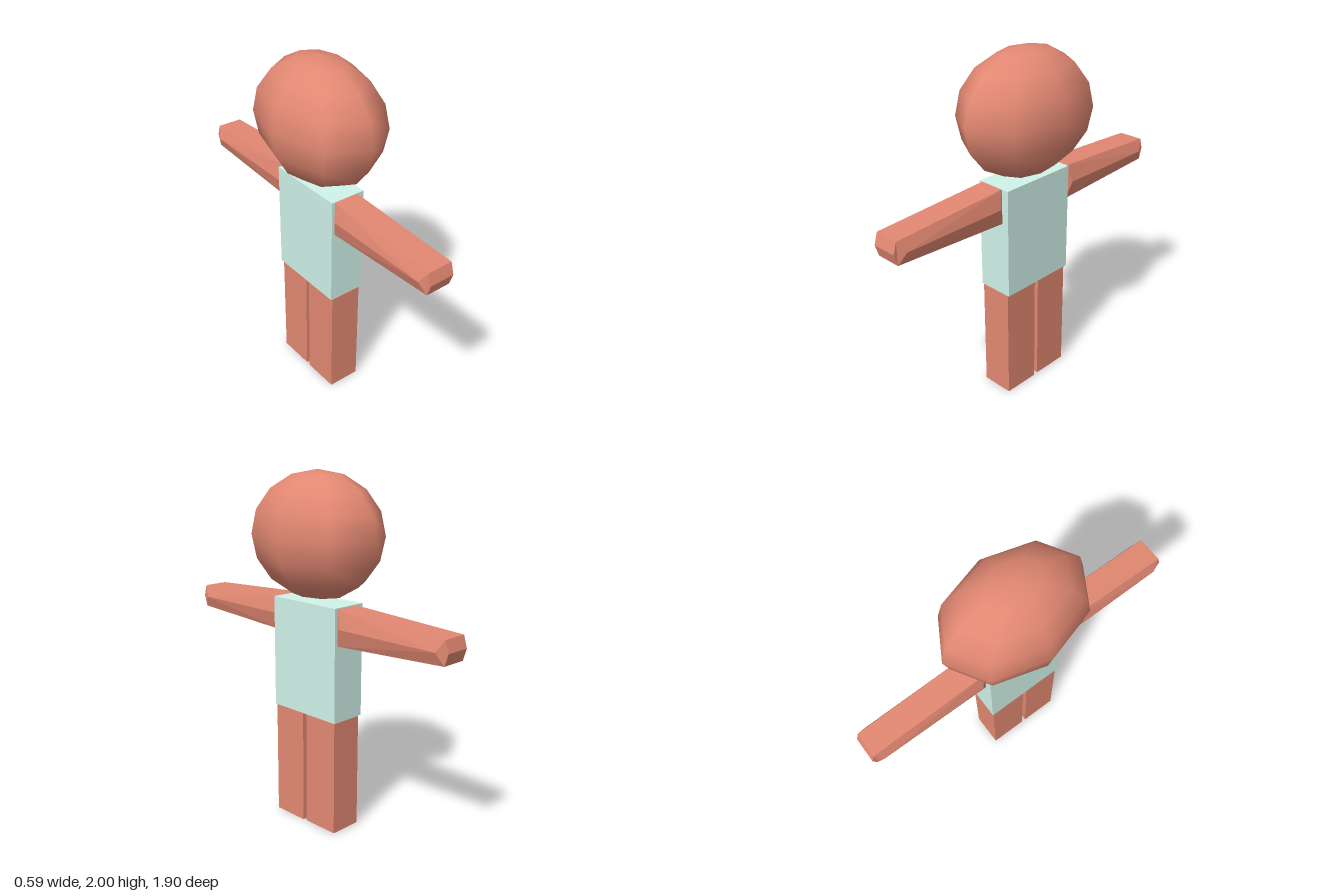
import * as THREE from 'three';

export function createModel() {
  const model = new THREE.Group();
  const skin = new THREE.MeshStandardMaterial({ color: 0xe28872 });
  const skinFlat = new THREE.MeshStandardMaterial({ color: 0xe28872, flatShading: true });
  const shirt = new THREE.MeshStandardMaterial({ color: 0xd0f3e9 });

  const add = (name, geometry, material, x, y, z) => {
    const mesh = new THREE.Mesh(geometry, material);
    mesh.name = name;
    mesh.position.set(x, y, z);
    model.add(mesh);
    return mesh;
  };

  // Head: faceted ball, widest along z
  add('head', new THREE.SphereGeometry(1, 8, 8), skin, 0, 1.653, 0).scale.set(0.297, 0.347, 0.425);

  // Torso and legs
  add('torso', new THREE.BoxGeometry(0.21, 0.636, 0.474), shirt, 0, 0.983, 0.002);
  add('leftLeg', new THREE.BoxGeometry(0.19, 0.66, 0.217), skin, 0, 0.33, 0.129);
  add('rightLeg', new THREE.BoxGeometry(0.19, 0.655, 0.22), skin, 0, 0.3305, -0.115);

  // Arm: tapered hexagonal bar along z with ridged ends
  const armGeometry = () => {
    // Box with a middle row of vertices, pulled out into ridges
    const g = new THREE.BoxGeometry(2, 2, 2, 1, 2, 1);
    const p = g.attributes.position;
    for (let i = 0; i < p.count; i++) {
      const x = p.getX(i), y = p.getY(i), outer = p.getZ(i) > 0;
      const halfHeight = outer ? 0.065 : 0.1;
      const z = outer ? (y === 0 ? 0.948 : 0.928) : (y === 0 ? 0.215 : 0.237);
      p.setXYZ(i, x * 0.073, y * halfHeight, z);
    }
    return g;
  };

  // Side ridge: wedge standing out of the flat side of the bar
  const ridgeGeometry = (s) => {
    const c = [
      [0.073, 0.1, 0.237], [0.073, -0.1, 0.237], [0.098, 0, 0.268],
      [0.073, 0.065, 0.928], [0.073, -0.065, 0.928], [0.098, 0, 0.888],
    ];
    const faces = [[0, 2, 1], [3, 4, 5], [0, 3, 5], [0, 5, 2], [1, 2, 5], [1, 5, 4]];
    const points = faces.flatMap((f) => (s > 0 ? f : [f[0], f[2], f[1]]))
      .flatMap((i) => [c[i][0] * s, c[i][1], c[i][2]]);
    const g = new THREE.BufferGeometry();
    g.setAttribute('position', new THREE.Float32BufferAttribute(points, 3));
    g.computeVertexNormals();
    return g;
  };

  for (const [name, side] of [['leftArm', 1], ['rightArm', -1]]) {
    const arm = new THREE.Group();
    arm.name = name;
    const ridgeMaterial = skinFlat.clone();
    ridgeMaterial.side = THREE.DoubleSide;
    const bar = new THREE.Mesh(armGeometry(), skinFlat);
    bar.name = name + 'Bar';
    arm.add(bar);
    for (const s of [1, -1]) {
      const ridge = new THREE.Mesh(ridgeGeometry(s), ridgeMaterial);
      ridge.name = name + 'Ridge';
      arm.add(ridge);
    }
    arm.position.set(-0.0125 * side, side > 0 ? 1.2 : 1.195, 0);
    if (side < 0) arm.rotation.y = Math.PI;
    model.add(arm);
  }

  return model;
}
